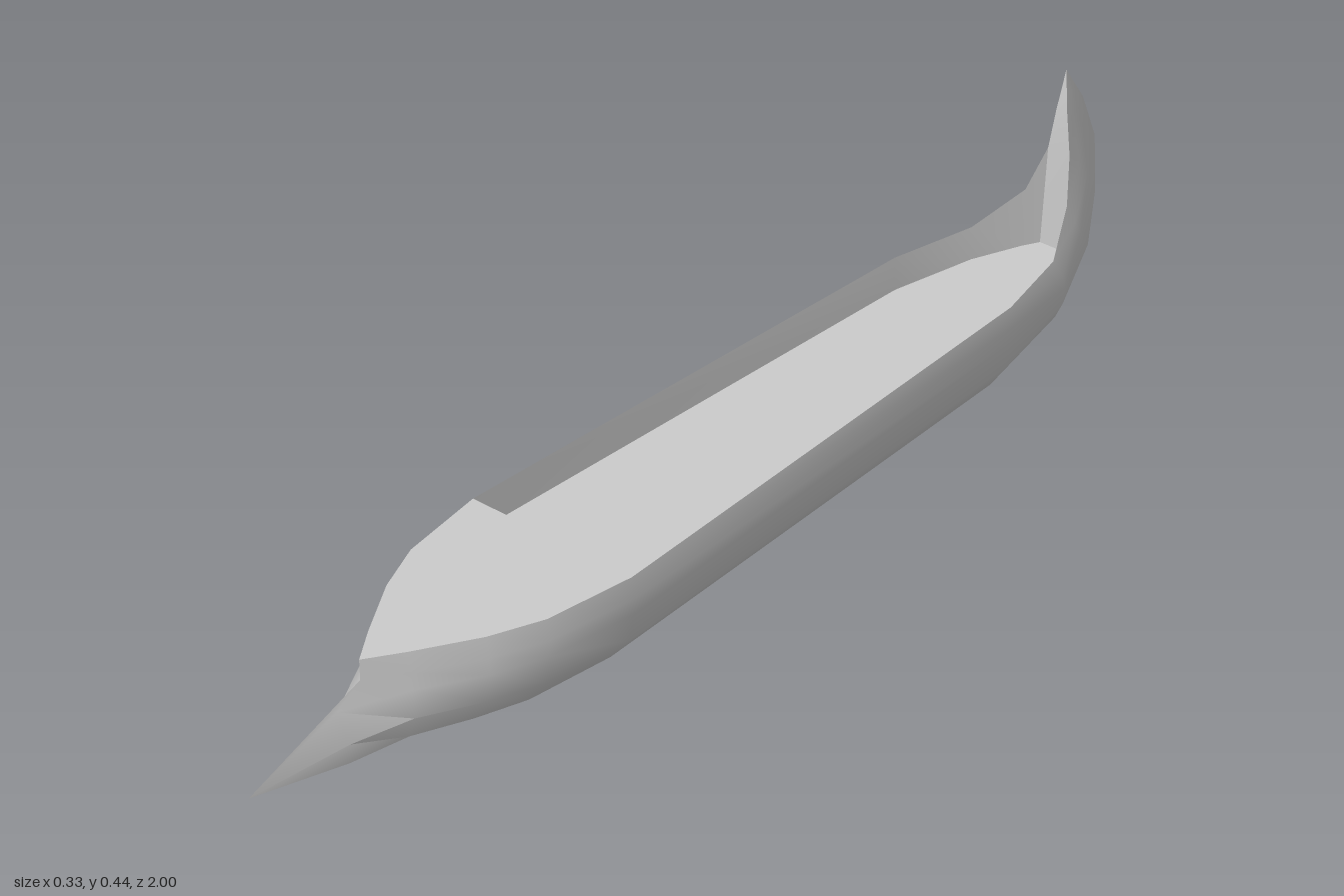
import * as THREE from 'three';
import { toCreasedNormals } from 'three/addons/utils/BufferGeometryUtils.js';

const V = (x, y, z) => new THREE.Vector3(x, y, z);
const flip = (p) => V(-p.x, p.y, p.z);
const mirrorRows = (rows) => rows.map((r) => r.map(flip).reverse());

// Skin one or more grids of points, skipping collapsed triangles
function skin(name, grids, crease = 0.75) {
  const pos = [];
  const tri = (a, b, c) => {
    const area = b.clone().sub(a).cross(c.clone().sub(a)).length();
    if (area > 1e-7) for (const p of [a, b, c]) pos.push(p.x, p.y, p.z);
  };
  for (const rows of grids) {
    for (let i = 0; i < rows.length - 1; i++) {
      for (let j = 0; j < rows[i].length - 1; j++) {
        const a = rows[i][j], b = rows[i + 1][j], c = rows[i][j + 1], d = rows[i + 1][j + 1];
        tri(a, b, c);
        tri(b, d, c);
      }
    }
  }
  const geo = new THREE.BufferGeometry();
  geo.setAttribute('position', new THREE.Float32BufferAttribute(pos, 3));
  const mat = new THREE.MeshStandardMaterial({ color: 0xcccccc, side: THREE.DoubleSide });
  const mesh = new THREE.Mesh(toCreasedNormals(geo, crease), mat);
  mesh.name = name;
  return mesh;
}

// Upright half section: bottom edge, chine, mid side, wale, rim
const rib = (z, bottom, by, chine, mid, wale, rim) =>
  [V(bottom, by, z), V(chine, 0.05, z), V(mid, 0.1, z), V(wale, 0.13, z), V(rim, 0.166, z)];

export function createModel() {
  const group = new THREE.Group();
  group.name = 'galleyHull';

  const tip = V(0, 0.05, 1), sternTip = V(0, 0.44, -0.9);
  const stemTop = V(0, 0.166, 0.77), stemMid = V(0, 0.13, 0.77);

  // Half sections from ram tip to stern tip
  const ribs = [
    [tip, tip, tip, stemMid, stemTop],
    [V(0.022, 0.02, 0.82), V(0.025, 0.055, 0.82), V(0, 0.1, 0.82), stemMid, stemTop],
    rib(0.71, 0.035, 0.012, 0.047, 0.046, 0.044, 0.04),
    rib(0.61, 0.07, 0.005, 0.1, 0.105, 0.105, 0.1),
    rib(0.52, 0.097, 0.002, 0.134, 0.14, 0.142, 0.137),
    rib(0.36, 0.115, 0, 0.155, 0.162, 0.165, 0.16),
    rib(-0.61, 0.085, 0.004, 0.115, 0.122, 0.125, 0.12),
    [V(0.058, 0.025, -0.82), V(0.08, 0.065, -0.81), V(0.09, 0.105, -0.8), V(0.092, 0.13, -0.79), V(0.085, 0.166, -0.77)],
    [V(0.026, 0.095, -0.95), V(0.043, 0.125, -0.91), V(0.052, 0.155, -0.89), V(0.05, 0.18, -0.875), V(0.043, 0.215, -0.86)],
    [V(0, 0.17, -1), V(0.011, 0.2, -0.975), V(0.018, 0.23, -0.95), V(0.021, 0.26, -0.92), V(0.022, 0.29, -0.89)],
    [V(0, 0.28, -0.99), V(0.005, 0.3, -0.965), V(0.008, 0.325, -0.94), V(0.01, 0.345, -0.915), V(0.011, 0.365, -0.893)],
    [V(0, 0.37, -0.95), V(0.001, 0.38, -0.938), V(0.003, 0.39, -0.922), V(0.004, 0.4, -0.91), V(0.005, 0.405, -0.897)],
    Array(5).fill(sternTip),
  ];
  group.add(skin('hullSides', [ribs, mirrorRows(ribs)]));

  // Flat bottom running up into ram and stern
  group.add(skin('hullBottom', [ribs.map((r) => [flip(r[0]), r[0]])]));

  // Raised foredeck and the step behind it
  const rims = ribs.map((r) => r[4]);
  group.add(skin('foredeck', [rims.slice(1, 6).map((p) => [p, flip(p)])]));
  const step = [V(0.157, 0.105, 0.36), rims[5]];
  group.add(skin('foredeckStep', [step.map((p) => [flip(p), p])]));

  // Sunken main deck
  const deck = [[0.157, 0.36], [0.118, -0.61], [0.083, -0.77], [0.046, -0.86], [0.03, -0.89]]
    .map(([x, z]) => V(x, 0.105, z));
  group.add(skin('mainDeck', [deck.map((p) => [p, flip(p)])]));

  // Inner bulwarks from rim to deck
  const walls = deck.map((p, i) => [rims[5 + i], p]);
  group.add(skin('bulwarks', [walls, mirrorRows(walls)], 0.3));

  // Front face of the curved stern post
  const post = [deck[4], ...rims.slice(9)];
  group.add(skin('sternPostFace', [post.map((p) => [p, flip(p)])]));

  return group;
}
